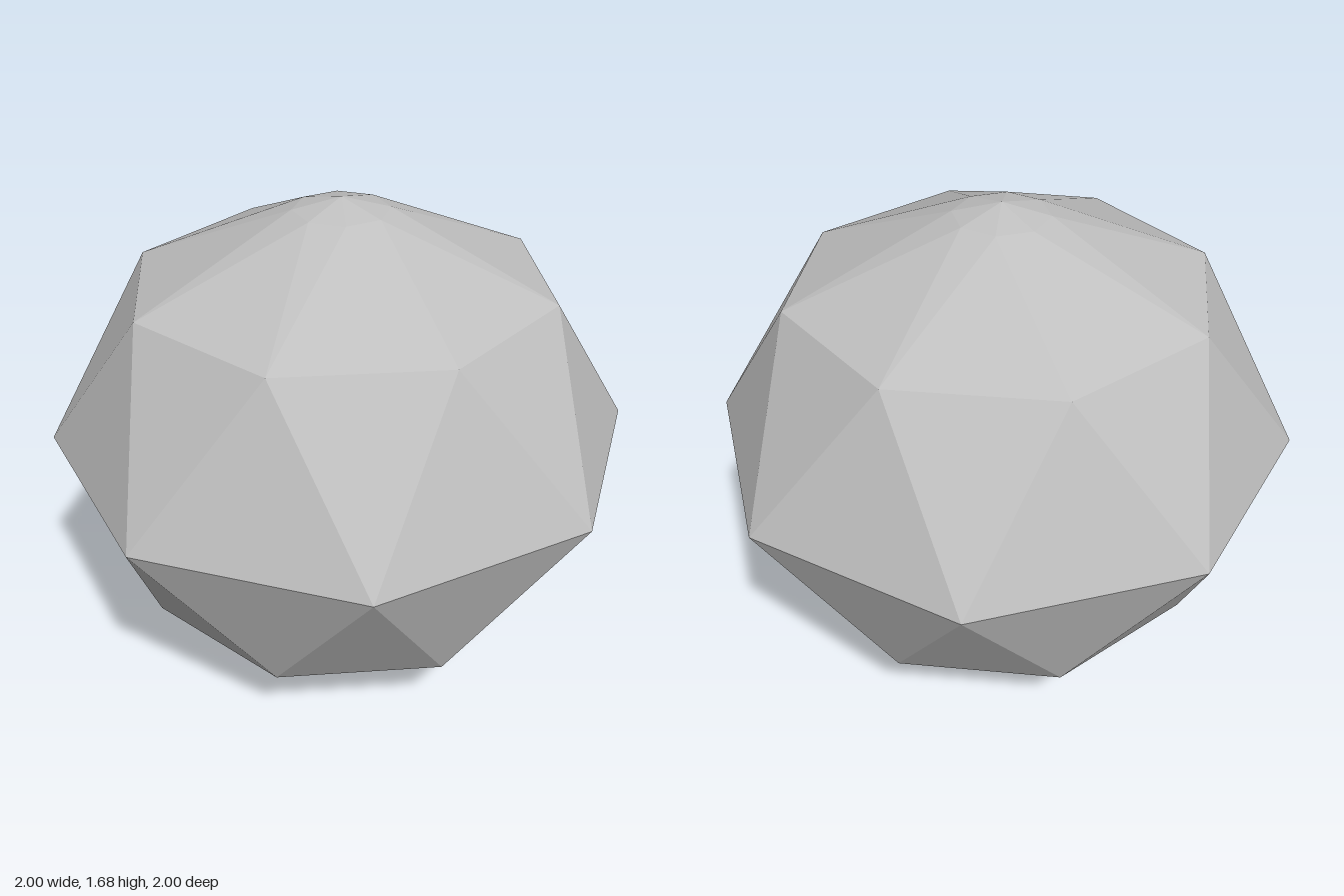
import * as THREE from 'three';

const SIDES = 8;
const MID = 0.84; // height of the widest ring

// Rings from the girdle to the tip: radius, height above girdle, twist in steps
const RINGS = [
  [1, 0, 0],
  [0.715, 0.56, 0.5],
  [0.16, 0.8, 1],
];
const TIP = 0.84;

// One faceted half; sign = 1 for the crown, -1 for its mirror image below
function halfGeometry(sign) {
  const positions = [];
  const corner = ([radius, height, twist], i) => {
    const a = ((i + twist) / SIDES) * Math.PI * 2;
    return [radius * Math.sin(a), MID + sign * height, radius * Math.cos(a)];
  };
  const face = (a, b, c) => positions.push(...a, ...(sign > 0 ? b : c), ...(sign > 0 ? c : b));

  for (let i = 0; i < SIDES; i++) {
    // Bands of alternating triangles
    for (let r = 0; r < RINGS.length - 1; r++) {
      const [low, high] = [RINGS[r], RINGS[r + 1]];
      face(corner(low, i), corner(low, i + 1), corner(high, i));
      face(corner(low, i + 1), corner(high, i + 1), corner(high, i));
    }
    // Shallow cap
    const last = RINGS[RINGS.length - 1];
    face(corner(last, i), corner(last, i + 1), [0, MID + sign * TIP, 0]);
  }

  const geometry = new THREE.BufferGeometry();
  geometry.setAttribute('position', new THREE.Float32BufferAttribute(positions, 3));
  geometry.computeVertexNormals(); // unshared corners keep the facets flat
  return geometry;
}

export function createModel() {
  const group = new THREE.Group();
  group.name = 'facetedStone';
  const stoneGrey = new THREE.MeshStandardMaterial({ color: 0xc0c0c0 });
  stoneGrey.name = 'stoneGrey';

  for (const [name, sign] of [['upperHalf', 1], ['lowerHalf', -1]]) {
    const mesh = new THREE.Mesh(halfGeometry(sign), stoneGrey);
    mesh.name = name;
    group.add(mesh);
  }
  return group;
}
